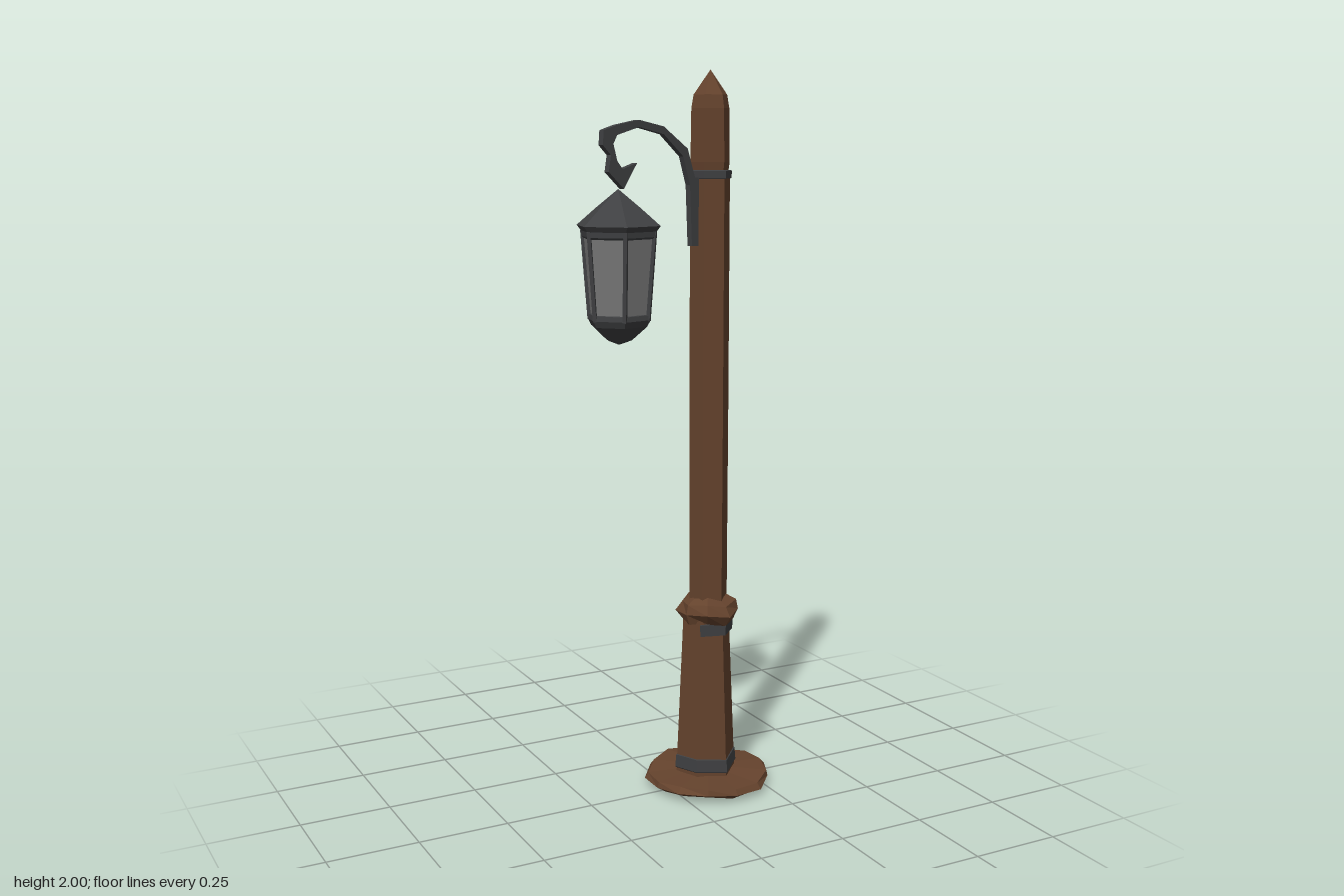
import * as THREE from 'three';

const material = (name, color, extra = {}) => {
  const m = new THREE.MeshStandardMaterial({ color, flatShading: true, ...extra });
  m.name = name;
  return m;
};

export function createModel() {
  const model = new THREE.Group();
  model.name = 'streetLantern';
  const wood = material('wood', 0x65432d);
  const iron = material('iron', 0x3f4042);
  const glass = material('glass', 0x777777);

  const add = (name, geometry, mat, parent = model) => {
    const mesh = new THREE.Mesh(geometry, mat);
    mesh.name = name;
    parent.add(mesh);
    return mesh;
  };
  // Faceted solid of revolution from [radius, y] points
  const turned = (points, sides, turn = 0) =>
    new THREE.LatheGeometry(points.map(([r, y]) => new THREE.Vector2(r, y)), sides).rotateY(turn);
  // Uneven, hand-hewn outline; the wobble is periodic so the seam stays closed
  const hew = (geometry, radial, vertical) => {
    const p = geometry.attributes.position;
    for (let i = 0; i < p.count; i++) {
      const x = p.getX(i), y = p.getY(i), z = p.getZ(i);
      const a = Math.atan2(z, x);
      const r = Math.hypot(x, z);
      if (r < 0.001) continue;
      const k = 1 + radial * Math.sin(5 * a + y * 90);
      p.setXYZ(i, x * k, y + vertical * Math.sin(3 * a + 1), z * k);
    }
    geometry.computeVertexNormals();
    return geometry;
  };

  // Wooden post, all centred on its own axis
  const post = new THREE.Group();
  post.name = 'post';
  post.position.set(0.117, 0, 0);
  model.add(post);
  const turn = Math.PI / 12;
  add('baseDisc', hew(turned([[0, 0.008], [0.145, 0.008], [0.177, 0.026], [0.168, 0.042], [0, 0.052]], 13), 0.025, 0.006), wood, post);
  const lower = add('lowerPost', turned([[0.085, 0.04], [0.083, 0.1], [0.066, 0.5], [0, 0.5]], 6, turn), wood, post);
  lower.position.x = -0.006;
  const foot = add('footBand', hew(turned([[0.084, 0.056], [0.089, 0.06], [0.086, 0.095], [0.08, 0.098]], 6, turn), 0, 0.004), iron, post);
  foot.position.x = -0.006;
  add('collarBand', turned([[0.06, 0.455], [0.071, 0.457], [0.072, 0.49], [0.06, 0.494]], 6, turn), iron, post);
  add('collar', hew(turned([[0, 0.488], [0.069, 0.488], [0.088, 0.518], [0.075, 0.545], [0.05, 0.56]], 8, turn), 0.05, 0.006), wood, post);
  add('upperPost', turned([[0.054, 0.5], [0.055, 1.1], [0.055, 1.73], [0, 1.735]], 6, turn), wood, post);
  add('topBand', turned([[0.05, 1.715], [0.06, 1.717], [0.06, 1.737], [0.045, 1.74]], 6, turn), iron, post);
  add('finial', turned([[0.05, 1.73], [0.054, 1.76], [0.052, 1.9], [0.046, 1.935], [0, 2]], 6, turn), wood, post);

  // Curved iron bracket, swung slightly forward from the post
  const arm = new THREE.Shape();
  arm.moveTo(0.068, 1.54);
  [[0.045, 1.54], [0.038, 1.7], [0.015, 1.775], [-0.05, 1.832], [-0.13, 1.85], [-0.2, 1.83],
    [-0.212, 1.808], [-0.2, 1.765], [-0.183, 1.745], [-0.137, 1.76], [-0.18, 1.695], [-0.227, 1.738],
    [-0.22, 1.78], [-0.245, 1.805], [-0.242, 1.842], [-0.2, 1.855], [-0.13, 1.868], [-0.05, 1.852],
    [0.03, 1.795], [0.055, 1.72], [0.068, 1.72]]
    .forEach(([x, y]) => arm.lineTo(x, y));
  const bracket = add('bracket', new THREE.ExtrudeGeometry(arm, { depth: 0.018, bevelEnabled: false }).translate(0, 0, -0.009), iron);
  bracket.scale.x = 1.025;
  bracket.rotation.y = 0.22;
  bracket.position.z = 0.03;

  // Hanging six-sided lantern
  const lantern = new THREE.Group();
  lantern.name = 'lantern';
  lantern.position.set(-0.19, 0, 0.07);
  model.add(lantern);
  const lampTurn = -0.26;
  add('lanternRoof', turned([[0, 1.585], [0.1, 1.585], [0.114, 1.603], [0.06, 1.648], [0, 1.695]], 6, lampTurn), iron, lantern);
  add('lanternGlass', turned([[0.078, 1.36], [0.097, 1.59]], 6, lampTurn), glass, lantern);
  add('lanternTopRim', turned([[0.097, 1.57], [0.102, 1.575], [0.104, 1.6]], 6, lampTurn), iron, lantern);
  add('lanternBottom', turned([[0, 1.295], [0.035, 1.308], [0.077, 1.345], [0.086, 1.362], [0.084, 1.375], [0.074, 1.378]], 6, lampTurn), iron, lantern);

  // Corner bars of the lantern
  const up = new THREE.Vector3(0, 1, 0);
  for (let i = 0; i < 6; i++) {
    const a = lampTurn + (i * Math.PI) / 3;
    const at = (r, y) => new THREE.Vector3(r * Math.sin(a), y, r * Math.cos(a));
    const low = at(0.08, 1.36), high = at(0.098, 1.59);
    const span = high.clone().sub(low);
    const bar = add('cornerBar', new THREE.CylinderGeometry(0.007, 0.007, span.length(), 4), iron, lantern);
    bar.position.copy(low).addScaledVector(span, 0.5);
    bar.quaternion.setFromUnitVectors(up, span.normalize());
  }
  return model;
}
